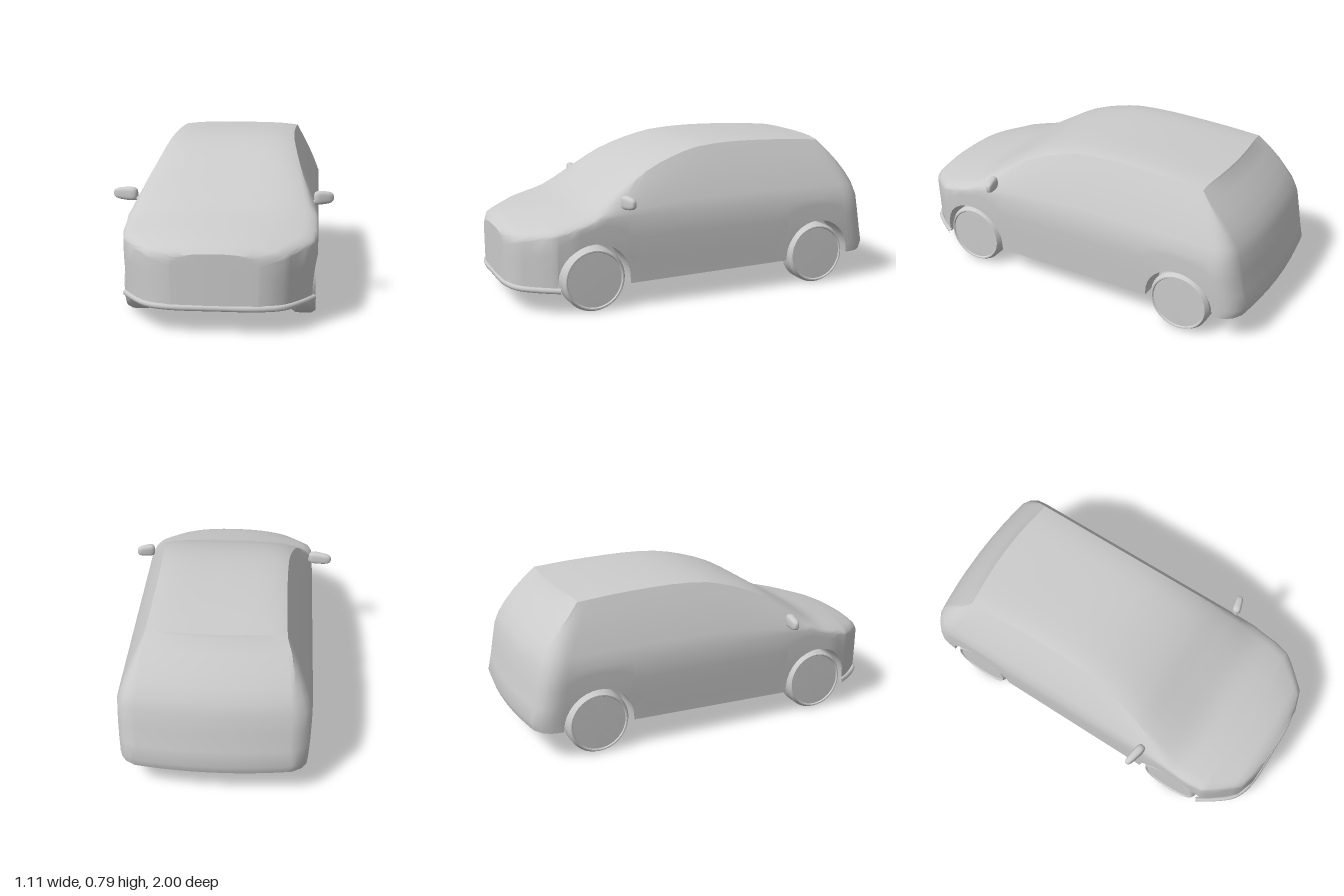
import * as THREE from 'three';
import { mergeGeometries, toCreasedNormals } from 'three/addons/utils/BufferGeometryUtils.js';

const { lerp, clamp, smoothstep } = THREE.MathUtils;
const paint = new THREE.MeshStandardMaterial({ color: 0xcccccc });
const AXLES = [0.6, -0.645], ARCH = 0.183, HUB = 0.16;
const FRACTIONS = [0.95, 0.86, 0.74, 0.55, 0.28, 0];

// Value of a [position, value] table, linear or as a smooth curve
function at(table, x, smooth = false) {
  const n = table.length;
  let i = 0;
  while (i < n - 2 && x > table[i + 1][0]) i++;
  const [x0, a] = table[i], [x1, b] = table[i + 1];
  const u = clamp((x - x0) / (x1 - x0), 0, 1);
  if (!smooth) return lerp(a, b, u);
  const slope = (k) => {
    const p = table[Math.max(k - 1, 0)], q = table[Math.min(k + 1, n - 1)];
    return ((q[1] - p[1]) / (q[0] - p[0])) * (x1 - x0);
  };
  const u2 = u * u, u3 = u2 * u;
  return (2 * u3 - 3 * u2 + 1) * a + (u3 - 2 * u2 + u) * slope(i) + (3 * u2 - 2 * u3) * b + (u3 - u2) * slope(i + 1);
}

// Centre line of bonnet, windscreen and roof
const TOP = [[-1, 0.765], [-0.7, 0.778], [-0.4, 0.786], [-0.2, 0.79], [0, 0.778], [0.15, 0.745], [0.3, 0.69],
  [0.45, 0.6], [0.6, 0.517], [0.75, 0.472], [0.87, 0.438], [0.95, 0.407], [0.99, 0.375]];
// Fall from the centre line to the roof or bonnet edge
const DROP = [[-1, 0.012], [0, 0.018], [0.3, 0.03], [0.6, 0.04], [0.85, 0.037], [0.99, 0.02]];
// Half width in plan
const PLAN = [[-1, 0.385], [-0.97, 0.432], [-0.93, 0.458], [-0.88, 0.465], [0.7, 0.465], [0.79, 0.45],
  [0.85, 0.405], [0.95, 0.315], [0.985, 0.21]];
// Slope of the tail by height
const TAIL = [[0.13, -0.955], [0.2, -0.97], [0.3, -0.945], [0.45, -0.92], [0.52, -0.893], [0.6, -0.838], [0.76, -0.69]];

// Stations behind t = -0.4 lean over to follow the tail
const lean = (t, y) => (t > -0.4 ? t : -0.4 - ((t + 0.4) / -0.6) * (-0.4 - at(TAIL, y)));
const bow = (t, f) => (1 - f * f) * (t < -0.6 ? -0.03 * ((-0.6 - t) / 0.4) ** 2 : t > 0.9 ? 0.005 : 0);

// Half of a cross-section: floor, wheel well, flank, then the crown
function section(t) {
  const zb = lean(t, 0.13), floor = 0.132 - 0.02 * zb;
  const axle = AXLES.find((c) => Math.abs(zb - c) <= ARCH + 1e-6);
  const sill = axle === undefined ? floor : HUB + Math.sqrt(Math.max(0, ARCH ** 2 - (zb - axle) ** 2));
  const bonnet = smoothstep(t, 0.4, 0.7);
  const top = at(TOP, t, true), drop = at(DROP, t);
  const edge = top - drop, shoulder = Math.min(0.46, edge - 0.035);
  const plan = at(PLAN, t) / 0.465;
  const width = (w, y) => w * lerp(plan, 1, t < 0 ? smoothstep(y, 0.45, 0.76) : 0);
  const lowerWidth = (y) => 0.453 + 0.012 * smoothstep(y, 0.1, 0.36);
  const base = lowerWidth(shoulder);
  const edgeWidth = 0.452 - Math.max(0, edge - 0.46) * 0.4 - 0.035 * bonnet;
  const flank = [0, 0.15, 0.4, 0.7, 1].map((k) => {
    const y = lerp(sill, shoulder, k);
    return [width(lowerWidth(y), y), y];
  });
  for (const k of [0.2, 0.4, 0.6, 0.8, 1]) {
    const y = lerp(shoulder, edge, k);
    const w = lerp(base, edgeWidth, lerp(k, k * k, bonnet)) + 0.03 * (1 - bonnet) * k * (1 - k);
    flank.push([width(w, y), y]);
  }
  const ew = flank[flank.length - 1][0];
  const crown = FRACTIONS.map((f) => [ew * f, edge + drop * (1 - f ** lerp(5, 2.5, bonnet)), f]);
  const inner = Math.min(0.31, flank[0][0] * 0.9), fi = inner / flank[0][0];
  const half = [
    [0, floor, zb + bow(t, 0)],
    [inner, floor, zb + bow(t, fi)],
    [inner, sill, zb + bow(t, fi)],
    ...flank.map(([x, y], i) => [x, y, i ? lean(t, y) : zb]),
    ...crown.map(([x, y, f]) => [x, y, lean(t, y) + bow(t, f)]),
  ];
  return { half, flank, crown, t };
}

const mirrorRow = (row) => [...row, ...row.slice(0, -1).reverse().map(([x, y, z]) => [-x, y, z])];

// Surface through equal rows of points
function surface(rows, flip = false) {
  const n = rows[0].length, index = [];
  for (let i = 0; i < rows.length - 1; i++) for (let j = 0; j < n - 1; j++) {
    const a = i * n + j, b = a + 1, d = a + n, c = d + 1;
    if (flip) index.push(a, d, b, b, d, c);
    else index.push(a, b, d, b, c, d);
  }
  const g = new THREE.BufferGeometry();
  g.setAttribute('position', new THREE.Float32BufferAttribute(rows.flat(2), 3));
  return g.setIndex(index);
}

// Closing panel across the nose or the tail
function endPanel({ flank, crown, t }) {
  const rows = flank.map(([x, y], i) => mirrorRow([1, ...FRACTIONS].map(
    (f) => [x * f, y, lean(t, i ? y : 0.13) + bow(t, f)])));
  const [ex, ey] = flank[flank.length - 1];
  rows.push(mirrorRow([[ex, ey, 1], ...crown].map(([x, y, f]) => [x, y, lean(t, y) + bow(t, f)])));
  return surface(rows, t > 0);
}

function add(parent, name, geometry) {
  const mesh = new THREE.Mesh(geometry, paint);
  mesh.name = name;
  parent.add(mesh);
  return mesh;
}

function stations() {
  const list = [-1, -0.985, -0.97, -0.93, -0.89, -0.4, -0.3, -0.2, -0.1, 0, 0.08, 0.15, 0.22, 0.3, 0.36,
    0.81, 0.85, 0.89, 0.92, 0.95, 0.97, 0.985];
  const toStation = (z) => (z > -0.4 ? z : -0.4 + ((z + 0.4) * 0.6) / 0.555);
  for (const c of AXLES) {
    for (let k = 0; k <= 16; k++) list.push(toStation(c + ARCH * Math.cos((k * Math.PI) / 16)));
    list.push(toStation(c + ARCH + 0.002), toStation(c - ARCH - 0.002));
  }
  return list.sort((a, b) => a - b);
}

// Tyre with bevelled shoulders, flat outer disc and hollow inner side
function wheelGeometry() {
  const profile = [[0, -0.005], [0.115, -0.01], [0.125, -0.058], [0.145, -0.058], [0.16, -0.038],
    [0.16, 0.035], [0.148, 0.057], [0.142, 0.057], [0.138, 0.05], [0, 0.052]];
  return toCreasedNormals(new THREE.LatheGeometry(profile.map(([r, y]) => new THREE.Vector2(r, y)), 40), 0.4);
}

// Rounded door mirror, blunter at the inner end
function mirrorGeometry(length) {
  const g = new THREE.SphereGeometry(1, 24, 16), p = g.attributes.position;
  const soft = (v, e) => Math.sign(v) * Math.abs(v) ** e;
  for (let i = 0; i < p.count; i++) {
    const x = soft(p.getX(i), 0.6), taper = 0.87 - 0.15 * x;
    p.setXYZ(i, x * length, soft(p.getY(i), 0.65) * 0.037 * taper, soft(p.getZ(i), 0.7) * 0.025 * taper);
  }
  g.computeVertexNormals();
  return g;
}

export function createModel() {
  const model = new THREE.Group();
  model.name = 'car';
  const car = new THREE.Group();
  car.name = 'bodyAndWheels';
  car.position.x = 0.015;
  model.add(car);

  // Body shell with floor, wheel wells, tail and nose
  const sections = stations().map(section);
  const shell = mergeGeometries([
    surface(sections.map((s) => mirrorRow(s.half))),
    endPanel(sections[0]),
    endPanel(sections[sections.length - 1]),
  ]);
  add(car, 'bodyShell', toCreasedNormals(shell, 0.7));

  // Lip along the lower front bumper
  const lipHalf = [[0.45, 0.77], [0.4, 0.85], [0.315, 0.945], [0.21, 0.98], [0, 0.986]].map(([x, z]) => [x, 0.128, z]);
  const lipPath = new THREE.CatmullRomCurve3(mirrorRow(lipHalf).map((p) => new THREE.Vector3(...p)));
  const lip = add(car, 'frontLip', new THREE.TubeGeometry(lipPath, 48, 0.012, 8));
  lip.scale.y = 1.2;
  lip.position.y = -0.029;

  // Wheels
  const wheel = wheelGeometry();
  AXLES.forEach((z, i) => {
    for (const side of [1, -1]) {
      const mesh = add(car, (i ? 'rear' : 'front') + (side > 0 ? 'Left' : 'Right') + 'Wheel', wheel);
      mesh.position.set(side * 0.4, HUB, z);
      mesh.rotation.z = (-side * Math.PI) / 2;
    }
  });

  // Door mirrors on short stalks
  for (const [name, side, x, z, length] of [['left', 1, 0.505, 0.435, 0.05], ['right', -1, -0.492, 0.41, 0.064]]) {
    const pod = new THREE.Group();
    pod.name = name + 'Mirror';
    pod.position.set(x, 0.535, z);
    pod.rotation.y = side > 0 ? 0.25 : Math.PI - 0.2;
    add(pod, 'mirrorShell', mirrorGeometry(length));
    const stalk = add(pod, 'mirrorStalk', new THREE.CylinderGeometry(0.01, 0.012, 0.07, 10));
    stalk.rotation.z = Math.PI / 2;
    stalk.position.set(-length - 0.005, -0.022, 0);
    model.add(pod);
  }
  return model;
}
